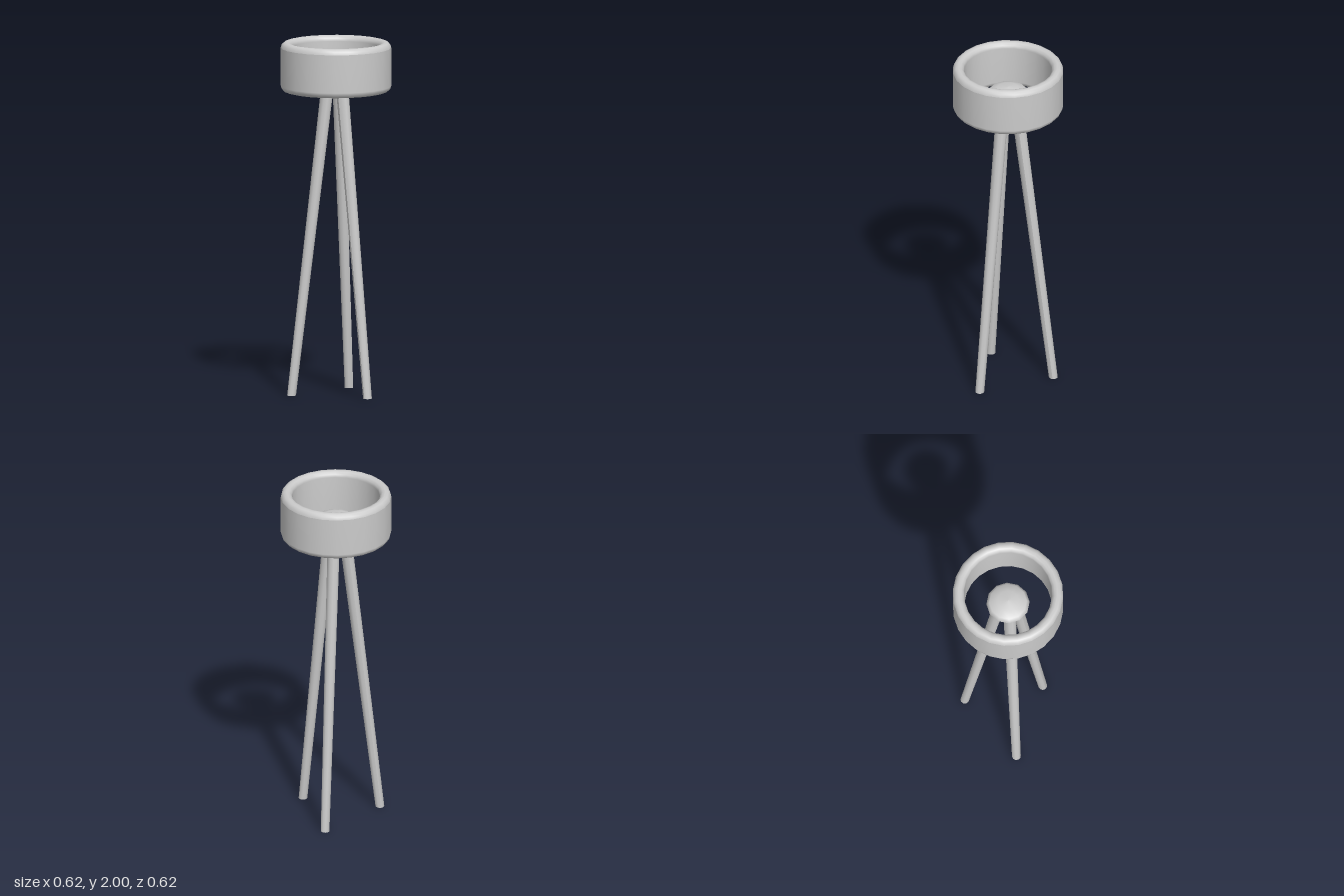
import * as THREE from 'three';

const material = new THREE.MeshStandardMaterial({ color: 0xcccccc });

function addMesh(parent, name, geometry) {
  const mesh = new THREE.Mesh(geometry, material);
  mesh.name = name;
  parent.add(mesh);
  return mesh;
}

// Closed wall section: outer face up, round rim, inner face down, round rim
function ringGeometry(outer, inner, bottom, top) {
  const r = (outer - inner) / 2, mid = (outer + inner) / 2, steps = 6;
  const points = [];
  for (let i = 0; i <= steps; i++) {
    const a = (i / steps) * Math.PI;
    points.push(new THREE.Vector2(mid + r * Math.cos(a), top - r + r * Math.sin(a)));
  }
  for (let i = 0; i <= steps; i++) {
    const a = Math.PI + (i / steps) * Math.PI;
    points.push(new THREE.Vector2(mid + r * Math.cos(a), bottom + r + r * Math.sin(a)));
  }
  points.push(points[0].clone());
  return new THREE.LatheGeometry(points, 24);
}

// Tapered leg leaning inwards along x, with level ends
function legGeometry(height, footX, topX) {
  const geometry = new THREE.CylinderGeometry(0.036, 0.025, height, 10);
  geometry.translate(0, height / 2, 0);
  const p = geometry.attributes.position;
  for (let i = 0; i < p.count; i++) {
    p.setX(i, p.getX(i) + THREE.MathUtils.lerp(footX, topX, p.getY(i) / height));
  }
  geometry.computeVertexNormals();
  return geometry;
}

export function createModel() {
  const model = new THREE.Group();
  model.name = 'tripodStand';

  addMesh(model, 'ring', ringGeometry(0.311, 0.247, 1.72, 2));

  // Shallow domed hub joining the legs
  const hubProfile = [[0, 1.785], [0.07, 1.79], [0.11, 1.805], [0.122, 1.82], [0.105, 1.84], [0.06, 1.857], [0, 1.863]]
    .map(([r, y]) => new THREE.Vector2(r, y));
  const hub = addMesh(model, 'hub', new THREE.LatheGeometry(hubProfile, 12));
  hub.rotation.y = -0.13;

  // Three splayed legs
  const leg = legGeometry(1.82, 0.257, 0.041);
  for (let i = 0; i < 3; i++) {
    addMesh(model, 'leg' + (i + 1), leg).rotation.y = (i * Math.PI * 2) / 3;
  }
  return model;
}
